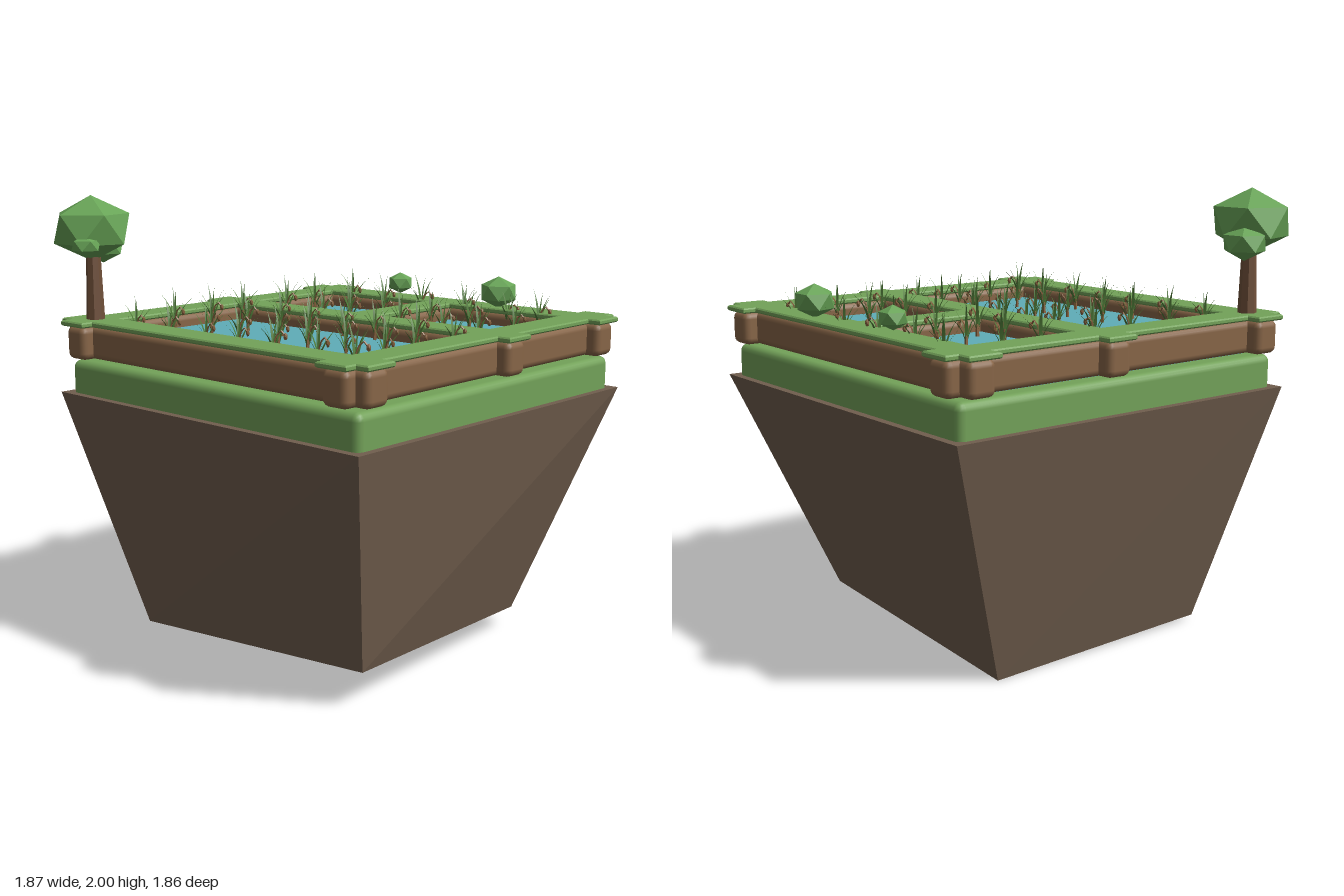
import * as THREE from 'three';
import { RoundedBoxGeometry } from 'three/addons/geometries/RoundedBoxGeometry.js';

const paint = (color, extra = {}) => Object.assign(new THREE.MeshStandardMaterial({ color }), extra);
const flat = { flatShading: true };
const soilMat = paint(0x715e4e, flat), grassMat = paint(0x73a259), woodMat = paint(0x876547);
const waterMat = paint(0x5fadb8), leafMat = paint(0x68a457, flat), trunkMat = paint(0x70503a, flat);
const bladeMat = paint(0x4f7a38, { side: THREE.DoubleSide }), strawMat = paint(0x8a6440, flat);

let seed = 7;
const rand = (a, b) => {
  seed = (seed * 16807) % 2147483647;
  return a + (b - a) * (seed / 2147483647);
};

function add(parent, name, geometry, material, x = 0, y = 0, z = 0) {
  const mesh = new THREE.Mesh(geometry, material);
  mesh.name = name;
  mesh.position.set(x, y, z);
  parent.add(mesh);
  return mesh;
}

// Rounded box given by its limits
function slab(parent, name, material, [x0, x1, y0, y1, z0, z1], radius) {
  const geo = new RoundedBoxGeometry(x1 - x0, y1 - y0, z1 - z0, 2, radius);
  return add(parent, name, geo, material, (x0 + x1) / 2, (y0 + y1) / 2, (z0 + z1) / 2);
}

// Low-poly foliage ball standing on one of its corners
function foliage(parent, name, x, y, z, r, h) {
  const geo = new THREE.IcosahedronGeometry(1, 0);
  geo.rotateZ(Math.atan(2 / (1 + Math.sqrt(5)))).scale(r, h, r);
  return add(parent, name, geo, leafMat, x, y, z);
}

// Block of earth, narrowing to an uneven base
function soilBlock() {
  const geo = new THREE.BoxGeometry(1.8, 1, 1.8);
  const p = geo.attributes.position;
  const base = {
    '-1,1': [-0.67, 0.16, 0.75], '1,1': [0.51, 0.09, 0.64],
    '-1,-1': [-0.64, 0.02, -0.61], '1,-1': [0.51, 0, -0.61],
  };
  for (let i = 0; i < p.count; i++) {
    const x = p.getX(i), z = p.getZ(i);
    if (p.getY(i) > 0) p.setXYZ(i, x + 0.01, 1.12, z + 0.02);
    else p.setXYZ(i, ...base[`${Math.sign(x)},${Math.sign(z)}`]);
  }
  geo.computeVertexNormals();
  return geo;
}

// Beam footprints: x0, x1, z0, z1
const L = [-0.85, -0.695], M = [0.03, 0.18], R = [0.715, 0.87];
const B = [-0.84, -0.69], F = [0.715, 0.87], C = [-0.06, 0.085];
const MIN = -0.905, MAX = 0.93;

// Grass cover following all beams, with an opening over each field
function grassCover() {
  const pts = [];
  const go = (...list) => list.forEach(([x, z]) => pts.push(new THREE.Vector2(x, z)));
  for (const [a, b] of [L, M, R]) go([a, B[0]], [a, MIN], [b, MIN], [b, B[0]]);
  for (const [a, b] of [B, F]) go([R[1], a], [MAX, a], [MAX, b], [R[1], b]);
  for (const [a, b] of [R, M, L]) go([b, F[1]], [b, MAX], [a, MAX], [a, F[1]]);
  for (const [a, b] of [F, B]) go([L[0], b], [MIN, b], [MIN, a], [L[0], a]);
  const shape = new THREE.Shape(pts.filter((p, i) => !i || p.distanceTo(pts[i - 1]) > 1e-6).slice(0, -1));
  for (const [x0, x1, z0, z1] of [
    [L[1], M[0], B[1], F[0]], [M[1], R[0], B[1], C[0]], [M[1], R[0], C[1], F[0]],
  ]) {
    shape.holes.push(new THREE.Path([[x0, z0], [x0, z1], [x1, z1], [x1, z0]].map((q) => new THREE.Vector2(...q))));
  }
  const geo = new THREE.ExtrudeGeometry(shape, {
    depth: 0.012, bevelThickness: 0.006, bevelSize: 0.006, bevelOffset: -0.006, bevelSegments: 1,
  });
  return geo.rotateX(Math.PI / 2);
}

// Leaf blade that widens, then tapers while arching outward
function bladeGeometry(height, reach, width) {
  const geo = new THREE.PlaneGeometry(1, 1, 1, 5);
  const p = geo.attributes.position;
  for (let i = 0; i < p.count; i++) {
    const t = p.getY(i) + 0.5;
    const w = width * (0.25 + 0.75 * Math.sin(Math.PI * t)) * (1 - t * t);
    p.setXYZ(i, p.getX(i) * w, height * t * (1.25 - 0.25 * t), reach * t * t);
  }
  geo.computeVertexNormals();
  return geo;
}

const blades = [
  // heading, height, reach, width
  [-2.6, 0.17, 0.065, 0.016], [-1.9, 0.14, 0.07, 0.016], [2.7, 0.2, 0.05, 0.016],
  [1.5, 0.15, 0.09, 0.016], [0.9, 0.18, 0.06, 0.014], [-0.4, 0.19, 0.025, 0.012],
].map(([a, h, r, w]) => bladeGeometry(h, r, w).rotateY(a));
const stalkCurve = new THREE.CatmullRomCurve3([
  new THREE.Vector3(0, 0, 0), new THREE.Vector3(0, 0.08, 0.005),
  new THREE.Vector3(0.005, 0.12, 0.03), new THREE.Vector3(0.008, 0.1, 0.05),
]);
const stalkGeo = new THREE.TubeGeometry(stalkCurve, 6, 0.004, 4);
const grainGeo = new THREE.IcosahedronGeometry(1, 0).scale(0.008, 0.016, 0.01);
const stemGeo = new THREE.CylinderGeometry(0.006, 0.009, 0.06, 5).translate(0, 0.03, 0);

function cropPlant(x, z) {
  const plant = new THREE.Group();
  plant.name = 'cropPlant';
  blades.forEach((geo) => add(plant, 'blade', geo, bladeMat));
  add(plant, 'stem', stemGeo, strawMat);
  add(plant, 'stalk', stalkGeo, strawMat);
  add(plant, 'grain', grainGeo, strawMat, 0.008, 0.098, 0.05);
  plant.position.set(x, 1.36, z);
  plant.rotation.y = rand(-0.3, 0.3);
  plant.scale.setScalar(rand(0.92, 1.1));
  return plant;
}

export function createModel() {
  const model = new THREE.Group();
  model.name = 'floatingFarmPlot';

  add(model, 'soilBlock', soilBlock(), soilMat);
  slab(model, 'grassLayer', grassMat, [-0.855, 0.875, 1.06, 1.268, -0.845, 0.887], 0.035);
  add(model, 'water', new THREE.BoxGeometry(1.54, 0.11, 1.54), waterMat, 0.01, 1.315, 0.015);

  // Wooden beams, slightly narrower than the grass on top
  const inset = 0.013;
  const wood = (name, [x0, x1], [z0, z1]) =>
    slab(model, name, woodMat, [x0 + inset, x1 - inset, 1.28, 1.428, z0 + inset, z1 - inset], 0.03);
  const full = [MIN, MAX];
  wood('leftEdgeBeam', L, full);
  wood('middleBeam', M, full);
  wood('rightEdgeBeam', R, full);
  wood('backBeam', full, B);
  wood('frontBeam', full, F);
  wood('crossBeam', [M[0], R[1]], C);
  add(model, 'grassCover', grassCover(), grassMat, 0, 1.446, 0);

  // Rows of crops in the flooded fields
  const crops = new THREE.Group();
  crops.name = 'crops';
  const plantField = (xs, zs) => {
    for (const z of zs) for (const x of xs) crops.add(cropPlant(x + rand(-0.02, 0.02), z + rand(-0.02, 0.02)));
  };
  plantField([-0.64, -0.43, -0.2, 0.01], [-0.63, -0.4, -0.18, 0.03, 0.22, 0.46, 0.65]);
  plantField([0.26, 0.48, 0.73], [-0.58, -0.34, -0.13, 0.15, 0.4, 0.61]);
  model.add(crops);

  // Tree on the back corner
  const tree = new THREE.Group();
  tree.name = 'tree';
  add(tree, 'trunk', new THREE.CylinderGeometry(0.03, 0.042, 0.36, 8), trunkMat, -0.77, 1.62, -0.765);
  foliage(tree, 'crown', -0.77, 1.855, -0.77, 0.187, 0.145);
  foliage(tree, 'sideFoliage', -0.665, 1.77, -0.83, 0.104, 0.078);
  foliage(tree, 'smallFoliage', -0.865, 1.79, -0.69, 0.07, 0.048);
  model.add(tree);

  // Bushes along the edge beam
  foliage(model, 'largeBush', 0.79, 1.52, 0.32, 0.095, 0.075);
  foliage(model, 'smallBush', 0.79, 1.517, -0.29, 0.066, 0.052);

  return model;
}
